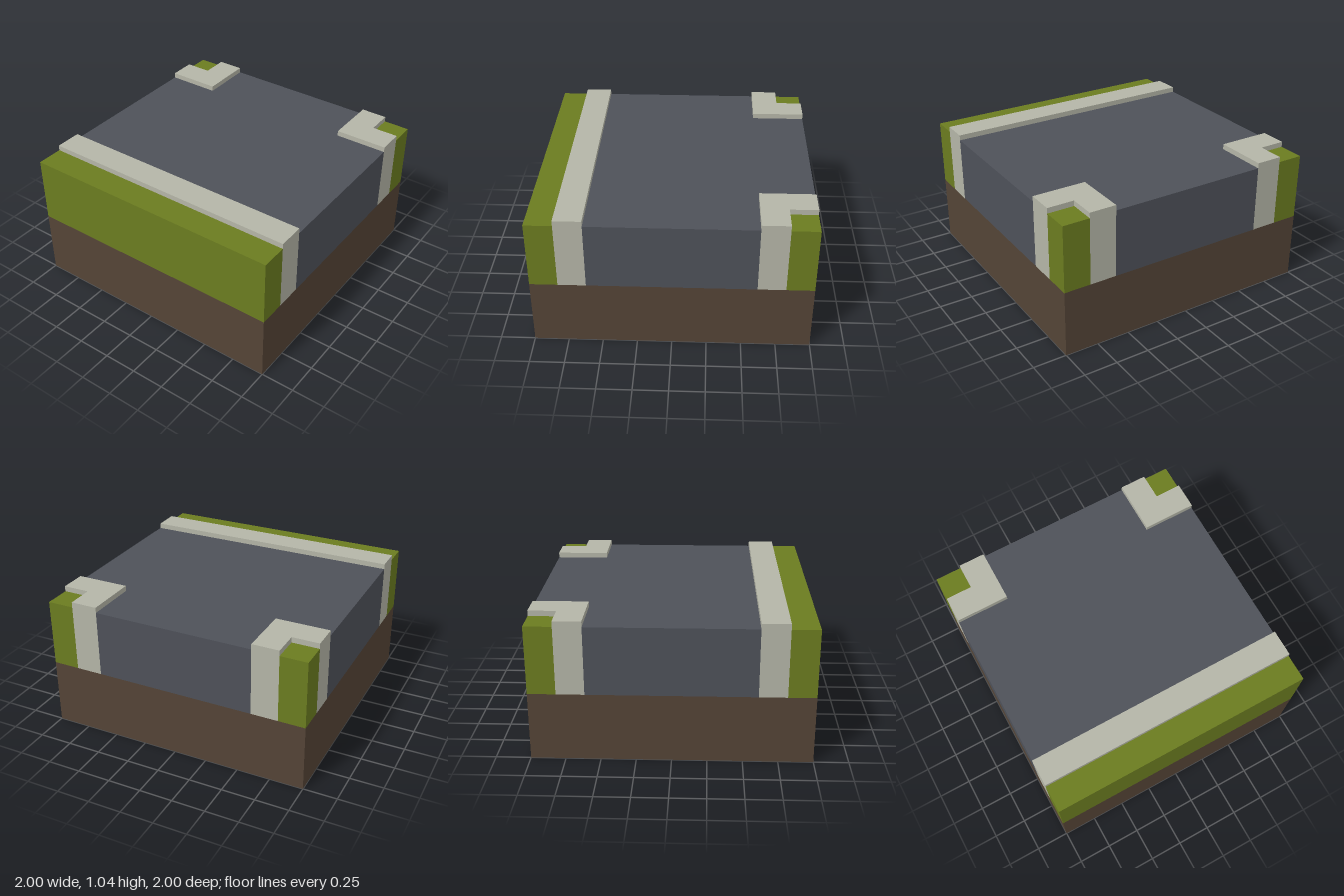
import * as THREE from 'three';

const material = (color) => new THREE.MeshStandardMaterial({ color, flatShading: true });

// Extrudes a plan outline of [x, z] points from height y0 up to y1.
function slab(name, outline, y0, y1, mat) {
  const shape = new THREE.Shape(outline.map(([x, z]) => new THREE.Vector2(x, -z)));
  const geometry = new THREE.ExtrudeGeometry(shape, { depth: y1 - y0, bevelEnabled: false });
  geometry.rotateX(-Math.PI / 2).translate(0, y0, 0);
  const mesh = new THREE.Mesh(geometry, mat);
  mesh.name = name;
  return mesh;
}

const rect = (x0, x1, z0, z1) => [[x0, z0], [x1, z0], [x1, z1], [x0, z1]];

export function createModel() {
  const group = new THREE.Group();
  group.name = 'roadJunctionTile';
  const soil = material(0x544436);
  const grass = material(0x6b7c20);
  const stone = material(0xb4b5a7);
  const asphalt = material(0x4e5159);
  const ground = 0.5, surface = 1, curbTop = 1.04;

  // Earth base
  group.add(slab('soilBase', rect(-1, 1, -1, 1), 0, ground, soil));

  // T-shaped road: straight lane plus a branch towards +x
  group.add(slab('road', [
    [-0.6, -1], [0.6, -1], [0.6, -0.6], [1, -0.6],
    [1, 0.6], [0.6, 0.6], [0.6, 1], [-0.6, 1],
  ], ground, surface, asphalt));

  // Straight verge and curb along the closed side
  group.add(slab('sideGrass', rect(-1, -0.8, -1, 1), ground, surface, grass));
  group.add(slab('sideCurb', rect(-0.8, -0.6, -1, 1), ground, curbTop, stone));

  // Mirrored corners: L-shaped curb around a square of grass
  for (const [side, s] of [['front', 1], ['back', -1]]) {
    group.add(slab(side + 'CornerCurb', [
      [0.6, 0.6 * s], [1, 0.6 * s], [1, 0.8 * s],
      [0.8, 0.8 * s], [0.8, s], [0.6, s],
    ], ground, curbTop, stone));
    group.add(slab(side + 'CornerGrass', rect(0.8, 1, 0.8 * s, s), ground, surface, grass));
  }
  return group;
}
